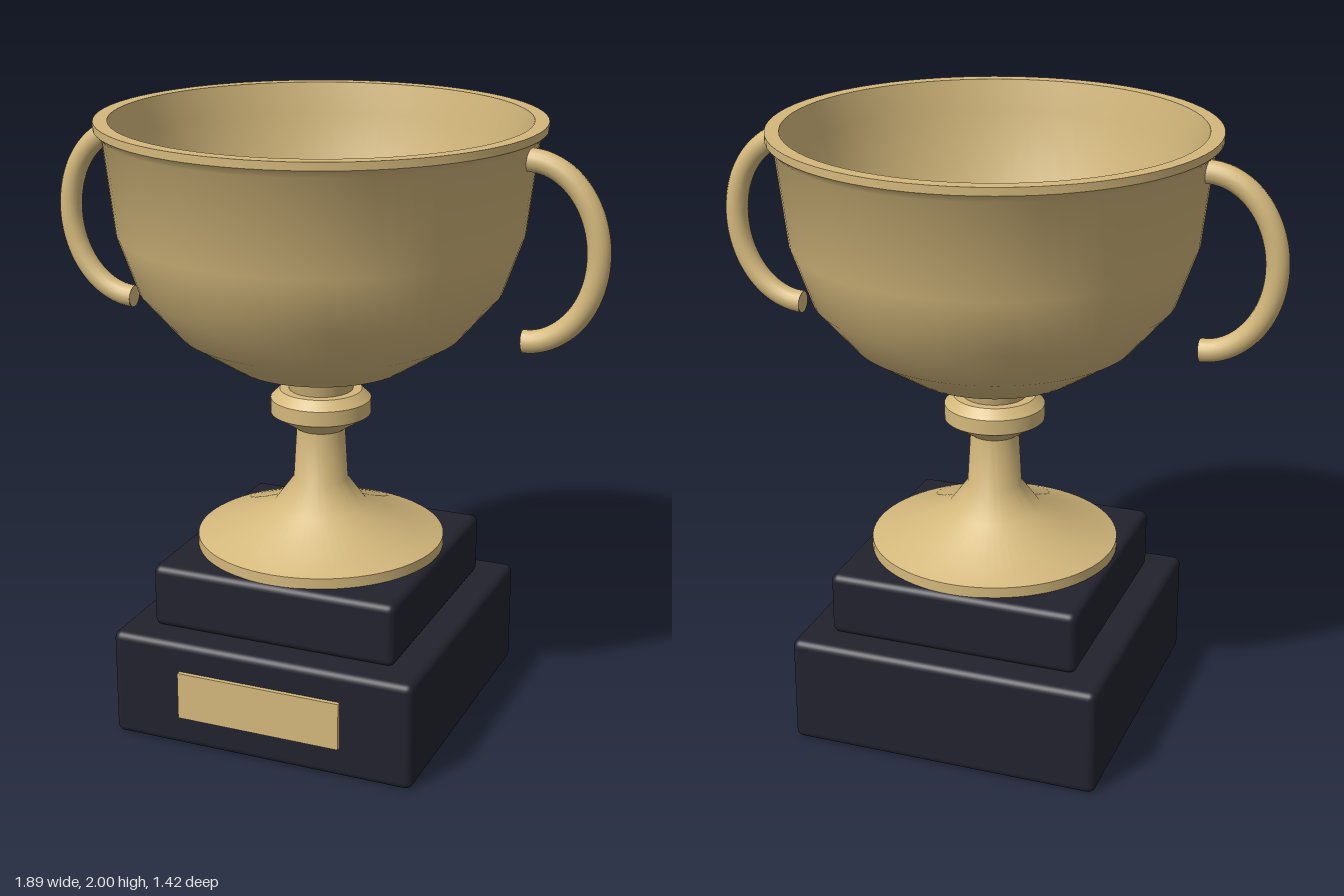
import * as THREE from 'three';
import { toCreasedNormals } from 'three/addons/utils/BufferGeometryUtils.js';
import { RoundedBoxGeometry } from 'three/addons/geometries/RoundedBoxGeometry.js';

const gold = new THREE.MeshStandardMaterial({ color: 0xd4b87c });
gold.name = 'gold';
const black = new THREE.MeshStandardMaterial({ color: 0x22222e });
black.name = 'black';

function part(name, geometry, material, x = 0, y = 0, z = 0) {
  const mesh = new THREE.Mesh(geometry, material);
  mesh.name = name;
  mesh.position.set(x, y, z);
  return mesh;
}

// Turned part, smooth around and sharp at strong profile corners
function turned(name, profile) {
  const points = profile.map(([r, y]) => new THREE.Vector2(r, y));
  return part(name, toCreasedNormals(new THREE.LatheGeometry(points, 72), 0.68), gold);
}

// Half-ellipse tube with closed ends; side is +1 or -1
function handle(name, side) {
  const group = new THREE.Group();
  group.name = name;
  const cx = 0.68, cy = 1.632, rx = 0.228, ry = 0.285, radius = 0.037;
  const path = [];
  for (let i = 0; i <= 24; i++) {
    const a = Math.PI * (0.5 - i / 24);
    path.push(new THREE.Vector3(side * (cx + rx * Math.cos(a)), cy + ry * Math.sin(a), 0));
  }
  const curve = new THREE.CatmullRomCurve3(path);
  group.add(part('handleTube', new THREE.TubeGeometry(curve, 48, radius, 16), gold));
  for (const s of [1, -1]) {
    const cap = part('handleEnd', new THREE.CircleGeometry(radius, 16), gold, side * cx, cy + s * ry);
    cap.rotation.y = -side * Math.PI / 2;
    group.add(cap);
  }
  return group;
}

export function createModel() {
  const model = new THREE.Group();
  model.name = 'trophyCup';

  // Stepped plinth with nameplate
  model.add(part('lowerPlinth', new RoundedBoxGeometry(1.04, 0.363, 1.04, 3, 0.025), black, 0, 0.1815));
  model.add(part('upperPlinth', new RoundedBoxGeometry(0.84, 0.212, 0.84, 3, 0.025), black, 0, 0.467));
  model.add(part('nameplate', new THREE.BoxGeometry(0.56, 0.16, 0.03), gold, 0, 0.185, 0.52));

  // Foot, stem and knop
  model.add(turned('stem', [
    [0, 0.572], [0.41, 0.572], [0.41, 0.608], [0.155, 0.71], [0.09, 0.8], [0.08, 0.975],
    [0.165, 1.03], [0.165, 1.08], [0.135, 1.11], [0.105, 1.11], [0.118, 1.16],
  ]));

  // Bowl: outside, rim, then inside
  model.add(turned('bowl', [
    [0, 1.155], [0.115, 1.155], [0.29, 1.205], [0.46, 1.315], [0.585, 1.46], [0.65, 1.645],
    [0.685, 1.95], [0.71, 1.975], [0.71, 2], [0.665, 2],
    [0.645, 1.9], [0.6, 1.62], [0.46, 1.37], [0, 1.25],
  ]));

  // Pair of handles
  model.add(handle('leftHandle', 1), handle('rightHandle', -1));
  return model;
}
